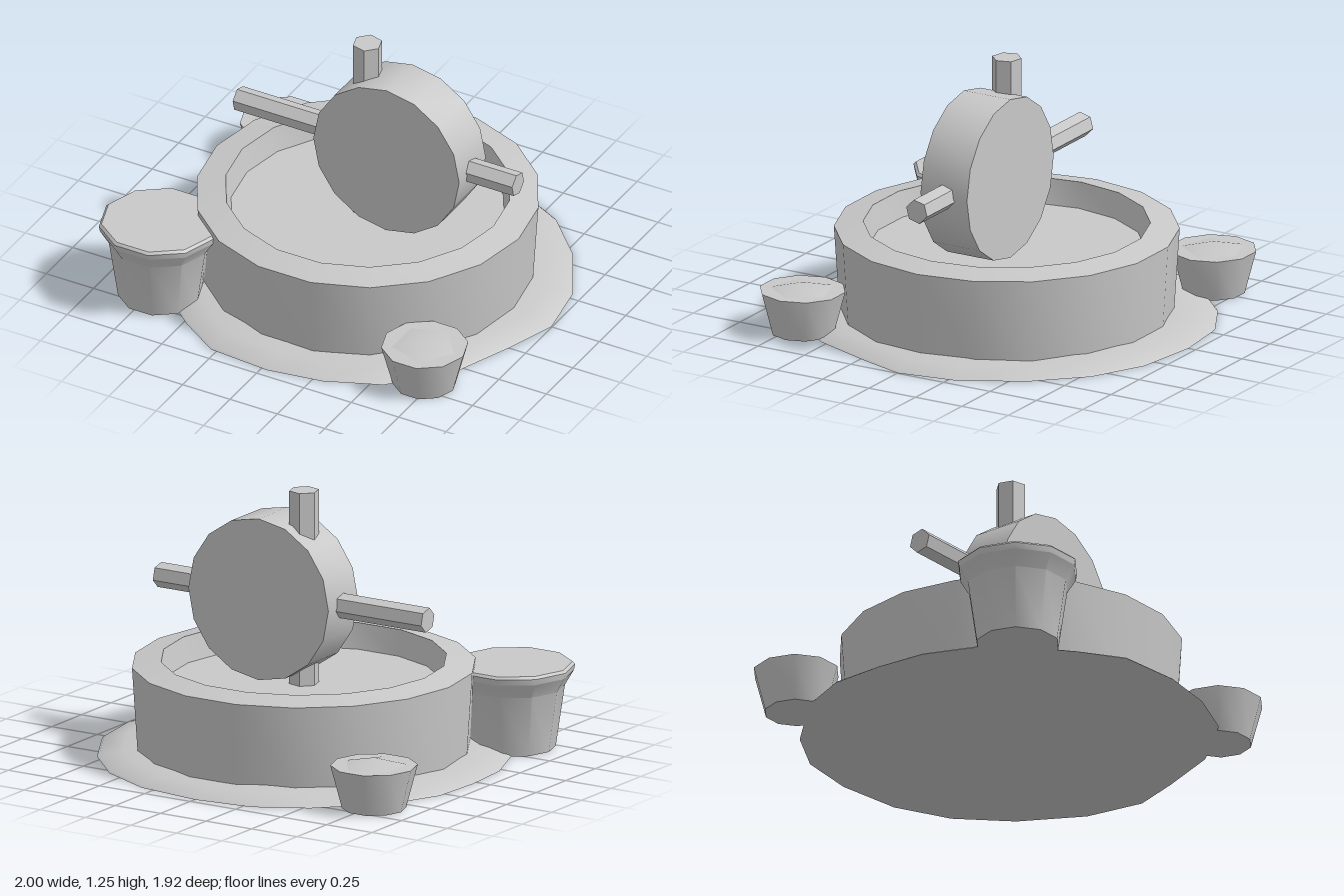
import * as THREE from 'three';
import { toCreasedNormals } from 'three/addons/utils/BufferGeometryUtils.js';

const stone = new THREE.MeshStandardMaterial({ color: 0xc8c8c8 });
stone.name = 'grey stone';

function part(name, geometry, x = 0, y = 0, z = 0) {
  const mesh = new THREE.Mesh(toCreasedNormals(geometry, 0.7), stone);
  mesh.name = name;
  mesh.position.set(x, y, z);
  return mesh;
}

// Turned solid with a corner on +x; profile is [radius, height] from the bottom up
function turned(profile, sides) {
  const points = profile.map(([r, y]) => new THREE.Vector2(r, y));
  return new THREE.LatheGeometry(points, sides, Math.PI / 2);
}

// Uneven flat slab: an outline scaled into rings of different heights
function slab(outline, rings) {
  const n = outline.length;
  const positions = [];
  const index = [];
  rings.forEach(([scale, y, bump]) => outline.forEach(([x, z], i) => {
    positions.push(x * scale, y + bump * Math.sin(i * 2.3), z * scale);
  }));
  for (let r = 0; r < rings.length - 1; r++) {
    for (let i = 0; i < n; i++) {
      const a = r * n + i;
      const b = r * n + (i + 1) % n;
      if (rings[r][0] > 0) index.push(a, b, b + n);
      if (rings[r + 1][0] > 0) index.push(a, b + n, a + n);
    }
  }
  const geometry = new THREE.BufferGeometry();
  geometry.setAttribute('position', new THREE.Float32BufferAttribute(positions, 3));
  geometry.setIndex(index);
  return geometry;
}

export function createModel() {
  const model = new THREE.Group();
  model.name = 'wheelFountain';

  // Irregular ground slab, outline as [x, z] running from +x towards the back
  const outline = [
    [0.997, 0], [0.95, -0.285], [0.79, -0.575], [0.58, -0.79], [0.32, -0.92],
    [0, -0.963], [-0.29, -0.93], [-0.53, -0.8], [-0.8, -0.53], [-0.91, -0.29],
    [-0.925, -0.03], [-0.905, 0.22], [-0.78, 0.54], [-0.48, 0.8], [-0.28, 0.93],
    [0.03, 0.955], [0.3, 0.91], [0.56, 0.8], [0.8, 0.53], [0.92, 0.23],
  ];
  model.add(part('groundSlab', slab(outline, [
    [0, 0, 0], [1, 0, 0], [0.99, 0.008, 0.002], [0.88, 0.032, 0.006], [0.78, 0.044, 0.004], [0, 0.044, 0],
  ])));

  // Round basin with a sloping lip and a sunken floor
  model.add(part('basin', turned([
    [0, 0.01], [0.77, 0.01], [0.797, 0.43], [0.662, 0.455], [0.637, 0.335], [0, 0.335],
  ], 18), 0.027, 0, 0));

  // Upright wheel with crossing bars
  const wheel = new THREE.CylinderGeometry(0.385, 0.385, 0.25, 16).rotateX(Math.PI / 2);
  model.add(part('wheel', wheel, 0.197, 0.735, 0.003));
  const axle = new THREE.CylinderGeometry(0.058, 0.058, 1.475, 6, 1, false, Math.PI / 12).rotateZ(Math.PI / 2);
  model.add(part('crossBar', axle, 0.085, 0.733, 0.003));
  const post = new THREE.CylinderGeometry(0.07, 0.07, 1.0, 6, 1, false, 0.28);
  model.add(part('uprightBar', post, 0.026, 0.755, 0));

  // Large pot with a separate flared lid
  const largePot = new THREE.Group();
  largePot.name = 'largePot';
  largePot.position.set(-0.716, 0, 0.63);
  largePot.add(part('potBody', turned([[0, 0], [0.195, 0], [0.237, 0.29], [0.279, 0.36]], 10)));
  largePot.add(part('potLid', turned([[0.279, 0.36], [0.284, 0.388], [0.272, 0.4], [0, 0.4]], 10)));
  model.add(largePot);

  // Two small pots with shallow pointed mounds
  [[-0.77, -0.63], [0.712, 0.685]].forEach(([x, z]) => {
    const pot = new THREE.Group();
    pot.name = 'smallPot';
    pot.position.set(x, 0, z);
    pot.add(part('potBody', turned([[0, 0], [0.148, 0], [0.202, 0.205], [0, 0.205]], 10)));
    pot.add(part('potMound', turned([[0.165, 0.202], [0, 0.24]], 5)));
    model.add(pot);
  });

  return model;
}
